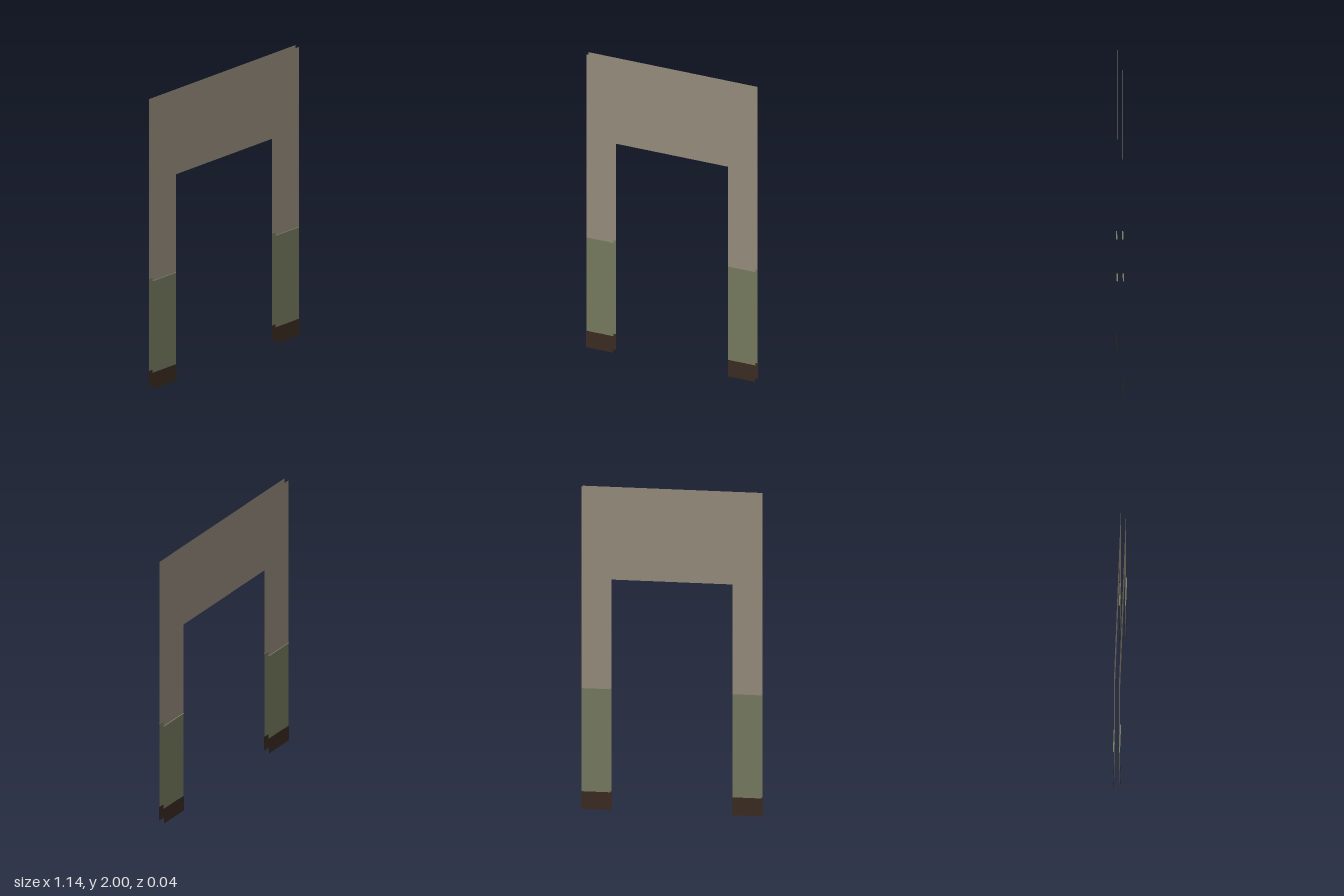
import * as THREE from 'three';

const HALF = 0.57;       // half of the outer width
const INNER = 0.387;     // half of the opening
const ARCH = 1.43;       // top of the opening
const PANEL_TOP = 0.75;
const FOOT_TOP = 0.11;
const WALL_Z = 0.016;
const FOOT_Z = 0.021;

const flat = (name, color) => {
  const m = new THREE.MeshStandardMaterial({ color, side: THREE.DoubleSide });
  m.name = name;
  return m;
};

export function createModel() {
  const plaster = flat('plaster', 0x968c7d);
  const green = flat('greenPaint', 0x777a5f);
  const brown = flat('darkBrown', 0x3b2b22);

  const group = new THREE.Group();
  group.name = 'doorSurround';

  // One flat face of the frame; the back face is the same, turned round.
  function buildFace(name) {
    const face = new THREE.Group();
    face.name = name;
    const add = (part, geometry, material, x, y, z) => {
      const mesh = new THREE.Mesh(geometry, material);
      mesh.name = part;
      mesh.position.set(x, y, z);
      face.add(mesh);
      return mesh;
    };

    // Upper wall: a lintel with two jambs reaching down to the painted panels
    const outline = [
      [-HALF, PANEL_TOP], [-INNER, PANEL_TOP], [-INNER, ARCH], [INNER, ARCH],
      [INNER, PANEL_TOP], [HALF, PANEL_TOP], [HALF, 2], [-HALF, 2],
    ].map(([x, y]) => new THREE.Vector2(x, y));
    add('upperWall', new THREE.ShapeGeometry(new THREE.Shape(outline)), plaster, 0, 0, WALL_Z);

    // Painted panel, its narrow ledge and the skirting on each jamb
    const width = HALF - INNER;
    for (const side of [-1, 1]) {
      const x = side * (HALF + INNER) / 2;
      const label = side > 0 ? 'Left' : 'Right';
      add('lowerPanel' + label, new THREE.PlaneGeometry(width, PANEL_TOP - FOOT_TOP),
        green, x, (PANEL_TOP + FOOT_TOP) / 2, WALL_Z);
      const ledge = add('panelLedge' + label, new THREE.PlaneGeometry(width, 0.007),
        green, x, PANEL_TOP, WALL_Z + 0.0025);
      ledge.rotation.x = -Math.PI / 2;
      add('skirting' + label, new THREE.PlaneGeometry(width, FOOT_TOP),
        brown, x, FOOT_TOP / 2, FOOT_Z);
    }
    return face;
  }

  const front = buildFace('frontFace');
  const back = buildFace('backFace');
  back.rotation.y = Math.PI;
  group.add(front, back);
  return group;
}
